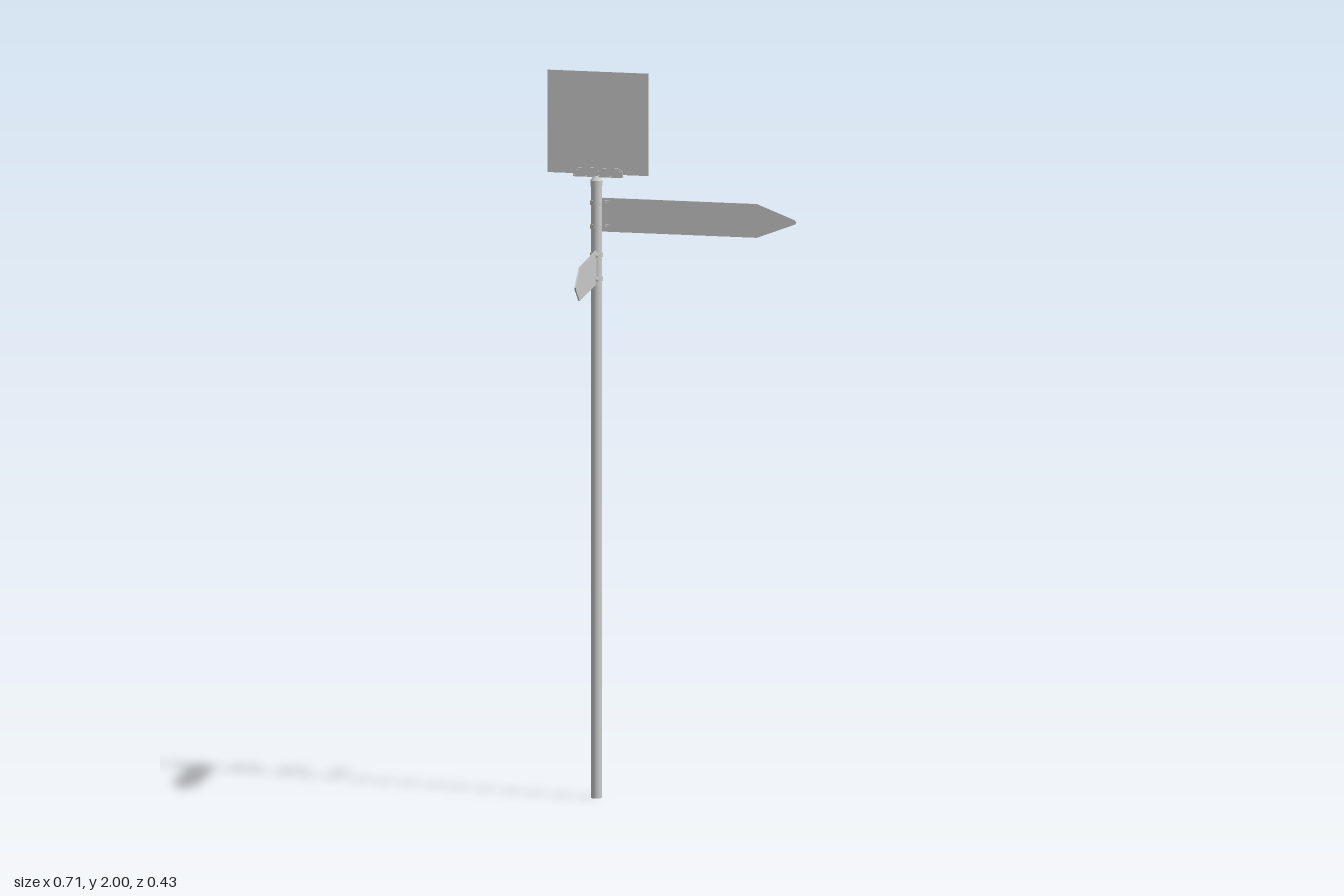
import * as THREE from 'three';

const grey = new THREE.MeshStandardMaterial({ color: 0xcccccc });

function add(parent, name, geometry, x = 0, y = 0, z = 0) {
  const mesh = new THREE.Mesh(geometry, grey);
  mesh.name = name;
  mesh.position.set(x, y, z);
  parent.add(mesh);
  return mesh;
}

// flat plate cut from an outline, centred on z = 0
function plate(points, depth, curveSegments = 12) {
  const shape = new THREE.Shape(points.map(([x, y]) => new THREE.Vector2(x, y)));
  return new THREE.ExtrudeGeometry(shape, { depth, bevelEnabled: false, curveSegments })
    .translate(0, 0, -depth / 2);
}

// bolt through z with a hexagonal head and nut
function addBolt(parent, x, y, halfLength) {
  const bolt = new THREE.Group();
  bolt.name = 'bolt';
  bolt.position.set(x, y, 0);
  add(bolt, 'boltShank', new THREE.CylinderGeometry(0.002, 0.002, halfLength * 2, 8).rotateX(Math.PI / 2));
  for (const s of [-1, 1]) {
    add(bolt, s > 0 ? 'boltHead' : 'nut',
      new THREE.CylinderGeometry(0.0042, 0.0042, 0.003, 6).rotateX(Math.PI / 2), 0, 0, s * (halfLength - 0.0015));
  }
  parent.add(bolt);
}

// ring round the pole with two ears gripping a board on the +x side
function addClamp(parent, y) {
  const clamp = new THREE.Group();
  clamp.name = 'clamp';
  clamp.position.y = y;
  const ring = new THREE.Shape().absarc(0, 0, 0.0175, 0, Math.PI * 2);
  ring.holes.push(new THREE.Path().absarc(0, 0, 0.0145, 0, Math.PI * 2, true));
  add(clamp, 'clampRing', new THREE.ExtrudeGeometry(ring, { depth: 0.012, bevelEnabled: false, curveSegments: 12 })
    .rotateX(-Math.PI / 2).translate(0, -0.006, 0));
  for (const s of [-1, 1]) {
    add(clamp, 'clampEar', new THREE.BoxGeometry(0.019, 0.012, 0.003), 0.0255, 0, s * 0.0032);
  }
  addBolt(clamp, 0.028, 0, 0.009);
  parent.add(clamp);
}

// pointed direction board, held by two clamps
function addArrow(parent, name, y, shoulder, tip, angle) {
  const arrow = new THREE.Group();
  arrow.name = name;
  arrow.position.y = y;
  arrow.rotation.y = angle;
  const h = 0.0465;
  add(arrow, 'arrowBoard', plate([
    [0.016, -h], [shoulder, -h], [tip - 0.004, -0.006], [tip, 0], [tip - 0.004, 0.006], [shoulder, h], [0.016, h],
  ], 0.0035));
  for (const s of [-1, 1]) addClamp(arrow, s * 0.033);
  parent.add(arrow);
}

export function createModel() {
  const model = new THREE.Group();
  model.name = 'signpost';
  model.position.set(-0.215, 0, -0.197);

  // pole with a closing cap
  add(model, 'pole', new THREE.CylinderGeometry(0.0147, 0.0147, 1.7, 24), 0, 0.85, 0);
  add(model, 'poleCap', new THREE.CylinderGeometry(0.007, 0.0165, 0.012, 24), 0, 1.707, 0);
  add(model, 'capCollar', new THREE.CylinderGeometry(0.0165, 0.0165, 0.016, 24), 0, 1.693, 0);

  // direction boards
  addArrow(model, 'sideArrow', 1.607, 0.455, 0.567, 0);
  addArrow(model, 'frontArrow', 1.463, 0.34, 0.417, THREE.MathUtils.degToRad(-82));

  // square panel on top
  const top = new THREE.Group();
  top.name = 'topSign';
  top.position.set(0.004, 0, -0.002);
  add(top, 'panel', new THREE.BoxGeometry(0.286, 0.282, 0.0035), 0, 1.859, 0);

  // pair of bracket plates gripping the lower edge of the panel
  for (const s of [-1, 1]) {
    add(top, 'bracketPlate', plate([
      [-0.07, 1.713], [0.07, 1.713], [0.07, 1.727], [0.062, 1.735], [-0.062, 1.735], [-0.07, 1.727],
    ], 0.003), 0, 0, s * 0.0034);
  }
  add(top, 'bracketBase', new THREE.BoxGeometry(0.14, 0.004, 0.012), 0, 1.712, 0);
  for (const x of [-0.06, 0, 0.06]) addBolt(top, x, 1.726, 0.0085);
  model.add(top);

  const root = new THREE.Group();
  root.add(model);
  return root;
}
